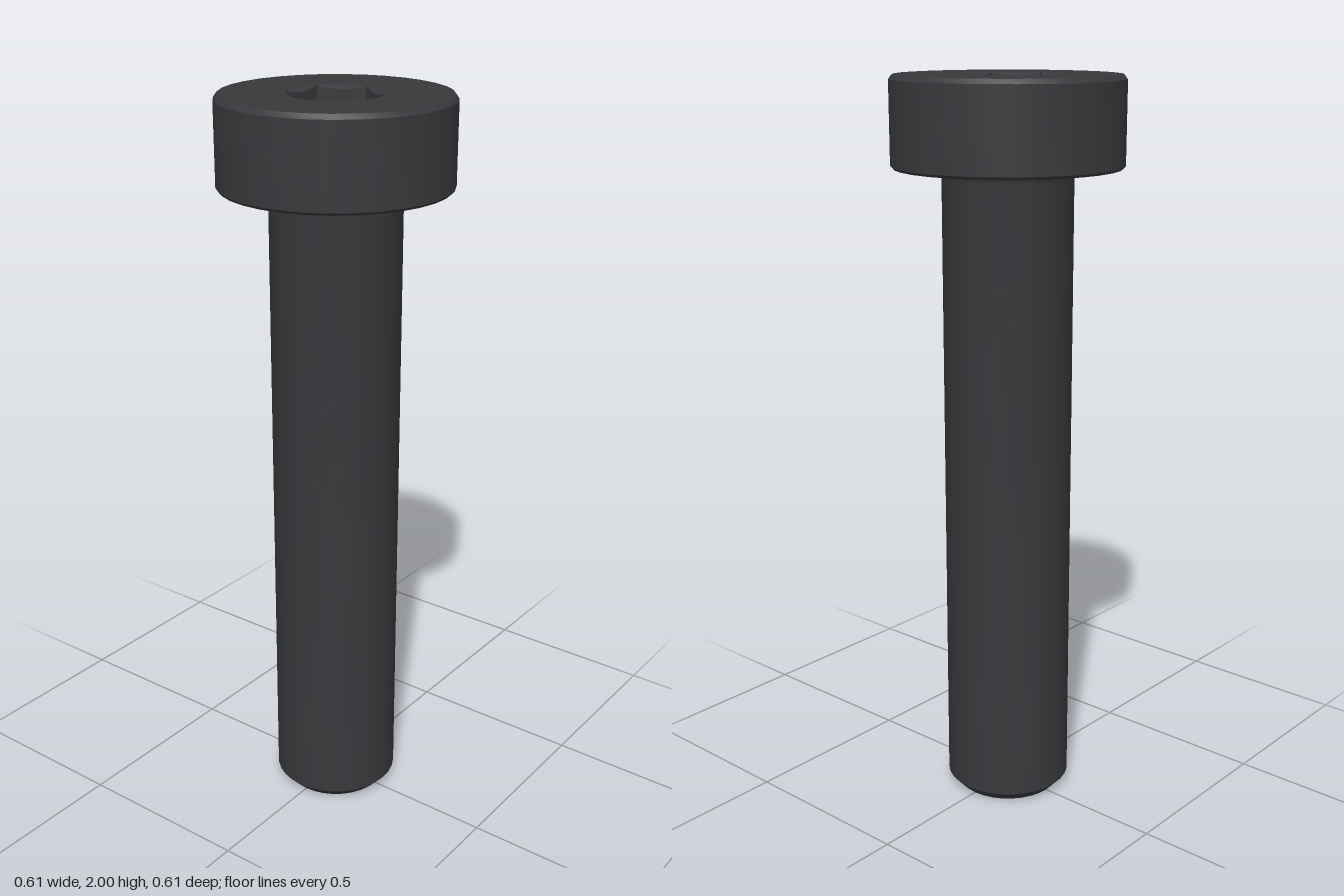
import * as THREE from 'three';
import { toCreasedNormals } from 'three/addons/utils/BufferGeometryUtils.js';

const SIDES = 32;          // facets around head and shank
const RIM = 0.127;         // socket mouth radius = hexagon corner radius
const TOP = 2, FLOOR = 1.88;

const material = new THREE.MeshStandardMaterial({ color: 0x38393c });

function addPart(group, name, geometry) {
  const mesh = new THREE.Mesh(toCreasedNormals(geometry, 0.5), material);
  mesh.name = name;
  group.add(mesh);
}

// Profile of [radius, height] pairs, listed from bottom to top
function lathe(profile) {
  return new THREE.LatheGeometry(profile.map(([r, y]) => new THREE.Vector2(r, y)), SIDES);
}

function ring(radius, count) {
  return Array.from({ length: count }, (_, i) => {
    const a = (i / count) * Math.PI * 2;
    return new THREE.Vector2(radius * Math.cos(a), radius * Math.sin(a));
  });
}

// Inward-facing socket wall: round mouth, conical lead-in, hexagonal sides
function socketWall() {
  const perSide = 8, n = perSide * 6, positions = [], index = [];
  const apothem = RIM * Math.cos(Math.PI / 6);
  for (let i = 0; i <= n; i++) {
    const a = (i / n) * Math.PI * 2;
    const local = ((i % perSide) / perSide - 0.5) * (Math.PI / 3);
    const hex = apothem / Math.cos(local);
    const scallop = TOP - (RIM - hex) * 0.6;
    for (const [r, y] of [[RIM, TOP], [hex, scallop], [hex, FLOOR]]) {
      positions.push(r * Math.cos(a), y, r * Math.sin(a));
    }
  }
  for (let i = 0; i < n; i++) {
    for (let j = 0; j < 2; j++) {
      const a = i * 3 + j, b = a + 1, c = a + 3, d = a + 4;
      index.push(a, b, c, c, b, d);
    }
  }
  const geometry = new THREE.BufferGeometry();
  geometry.setAttribute('position', new THREE.Float32BufferAttribute(positions, 3));
  geometry.setIndex(index);
  geometry.computeVertexNormals();
  return geometry;
}

export function createModel() {
  const bolt = new THREE.Group();
  bolt.name = 'socketHeadBolt';

  // Shank with chamfered tip and a small fillet under the head
  addPart(bolt, 'shank', lathe([
    [0, 0], [0.145, 0], [0.173, 0.03], [0.173, 1.74],
    [0.175, 1.752], [0.18, 1.76], [0.19, 1.765],
  ]));

  // Head sides with eased edges
  addPart(bolt, 'head', lathe([
    [0.19, 1.765], [0.299, 1.765], [0.305, 1.772], [0.305, 1.988], [0.296, TOP],
  ]));

  // Flat top of the head around the socket mouth
  const face = new THREE.Shape(ring(0.296, SIDES));
  face.holes.push(new THREE.Path(ring(RIM, 48)));
  addPart(bolt, 'headTop', new THREE.ShapeGeometry(face).rotateX(-Math.PI / 2).translate(0, TOP, 0));

  // Hexagonal drive socket
  addPart(bolt, 'socketWall', socketWall());
  addPart(bolt, 'socketFloor',
    new THREE.CircleGeometry(RIM, 6).rotateX(-Math.PI / 2).translate(0, FLOOR, 0));

  return bolt;
}
